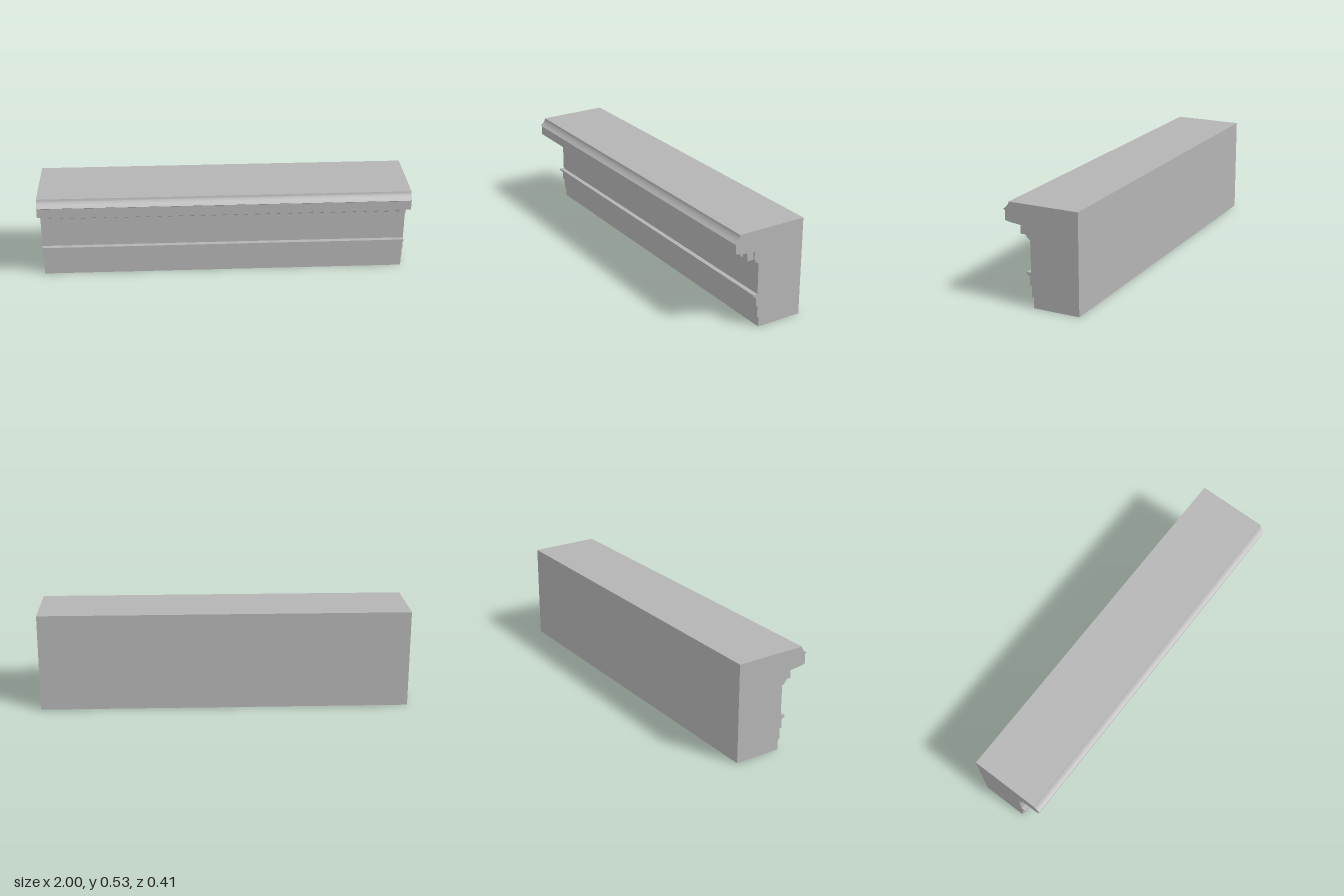
import * as THREE from 'three';
import { toCreasedNormals } from 'three/addons/utils/BufferGeometryUtils.js';

export function createModel() {
  const group = new THREE.Group();
  group.name = 'corniceBlock';
  const stone = new THREE.MeshStandardMaterial({ color: 0xb4b4b4 });
  stone.name = 'grey stone';

  // Cross-section as [z, y], from the bottom of the back up the moulded front
  const profile = [
    [-0.207, 0], [0.047, 0], [0.047, 0.056], [0.056, 0.056], [0.056, 0.116],
    [0.066, 0.116], [0.066, 0.164], [0.084, 0.174], [0.084, 0.184], [0.059, 0.184],
    [0.059, 0.351], [0.079, 0.365], [0.079, 0.373], [0.084, 0.373], [0.084, 0.418],
    [0.172, 0.428], [0.198, 0.434], [0.198, 0.485], [0.207, 0.491],
  ];
  const shape = new THREE.Shape();
  profile.forEach(([z, y], i) => (i ? shape.lineTo(-z, y) : shape.moveTo(-z, y)));
  shape.quadraticCurveTo(-0.177, 0.511, -0.175, 0.531); // cove under the top edge
  shape.lineTo(0.207, 0.531);
  shape.closePath();

  // Moulded body, run along x
  const bodyGeometry = new THREE.ExtrudeGeometry(shape, { depth: 2, bevelEnabled: false, curveSegments: 8 });
  bodyGeometry.translate(0, 0, -1);
  bodyGeometry.rotateY(Math.PI / 2);
  const body = new THREE.Mesh(toCreasedNormals(bodyGeometry, 0.35), stone);
  body.name = 'mouldedBody';
  group.add(body);

  // Row of dentils under the overhang
  const dentils = new THREE.Group();
  dentils.name = 'dentils';
  const count = 34;
  const pitch = 2 / count;
  const dentilGeometry = new THREE.BoxGeometry(0.037, 0.042, 0.035);
  for (let i = 0; i < count; i++) {
    const dentil = new THREE.Mesh(dentilGeometry, stone);
    dentil.name = 'dentil';
    dentil.position.set(-1 + pitch * (i + 0.5), 0.394, 0.101);
    dentils.add(dentil);
  }
  group.add(dentils);
  return group;
}
